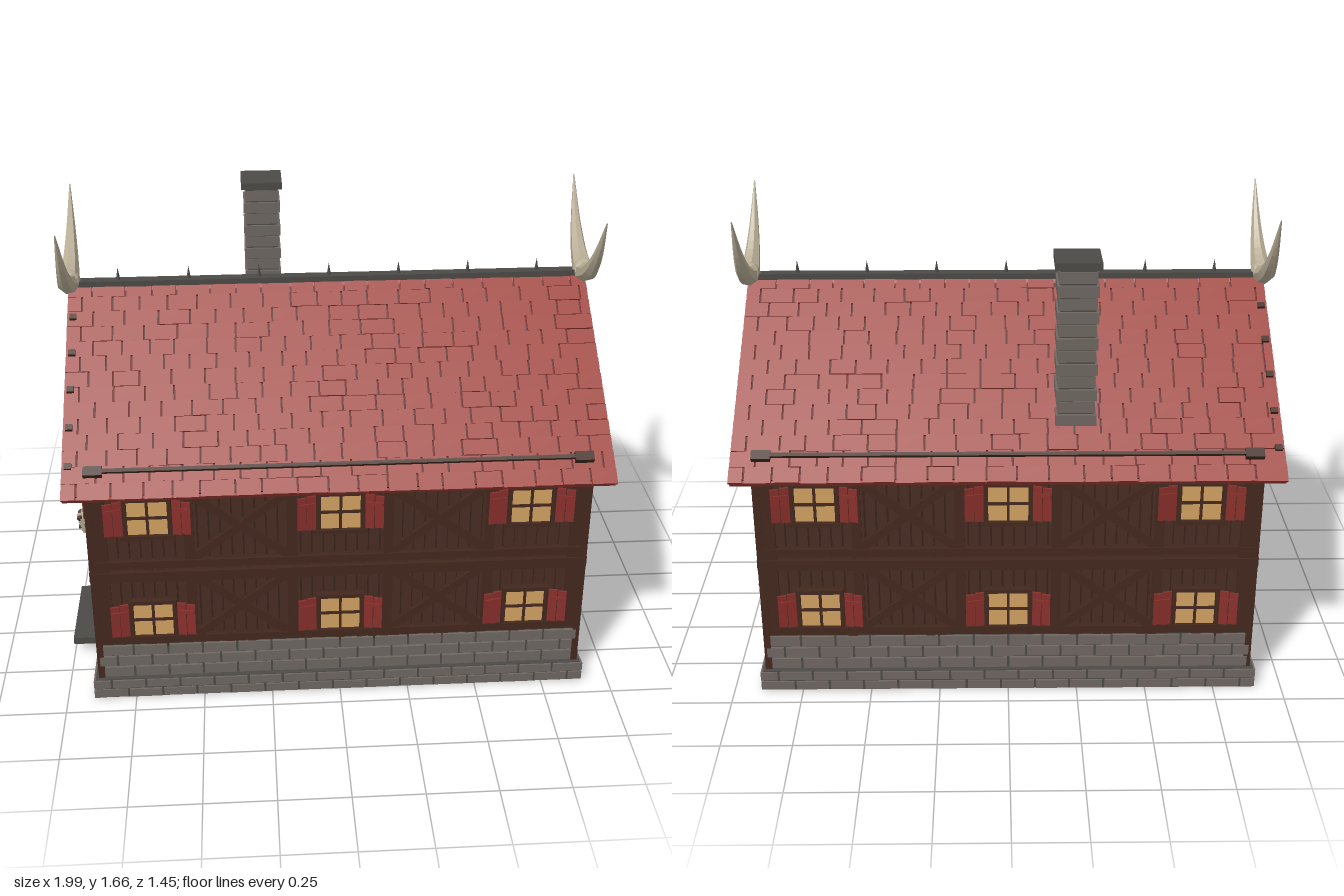
import * as THREE from 'three';
import { mergeGeometries } from 'three/addons/utils/BufferGeometryUtils.js';

const mat = (name, color) => {
  const m = new THREE.MeshStandardMaterial({ color });
  m.name = name;
  return m;
};

export function createModel() {
  const M = {
    wall: mat('dark wall wood', 0x38221a), plank: mat('plank wood', 0x492d22),
    beam: mat('timber', 0x43281d), stone: mat('stone', 0x6f6762),
    slate: mat('mortar and slate', 0x4b4a46), tile: mat('roof tile red', 0x9c3a32),
    gap: mat('dark roof red', 0x5a211c), shutter: mat('shutter red', 0x8a302c),
    glow: mat('warm glass', 0xd3a263), bone: mat('bone', 0xb9ae97),
  };
  let seed = 7;
  const rnd = () => (seed = (seed * 16807) % 2147483647) / 2147483647;
  const jit = (a) => (rnd() - 0.5) * 2 * a;

  const root = new THREE.Group();
  root.name = 'house';
  const group = (parent, name, x = 0, y = 0, z = 0) => {
    const g = new THREE.Group();
    g.name = name;
    g.position.set(x, y, z);
    parent.add(g);
    return g;
  };
  const mesh = (parent, name, geo, m) => {
    const o = new THREE.Mesh(geo, m);
    o.name = name;
    parent.add(o);
    return o;
  };
  const boxGeo = (w, h, d, x, y, z, rx = 0, ry = 0, rz = 0) =>
    new THREE.BoxGeometry(w, h, d).rotateX(rx).rotateY(ry).rotateZ(rz).translate(x, y, z);
  const box = (parent, name, m, ...a) => mesh(parent, name, boxGeo(...a), m);
  const merged = (parent, name, m, geos) => mesh(parent, name, mergeGeometries(geos), m);
  const flat = (geo) => {
    const g = geo.index ? geo.toNonIndexed() : geo;
    g.computeVertexNormals();
    return g;
  };

  // Tapered faceted horn along a curve
  const horn = (pts, r, n = 10, sides = 6) => {
    const path = new THREE.CatmullRomCurve3(pts.map((p) => new THREE.Vector3(...p)));
    const geo = new THREE.TubeGeometry(path, n, r, sides);
    const pos = geo.attributes.position, v = new THREE.Vector3();
    for (let i = 0; i <= n; i++) {
      const c = path.getPointAt(i / n), k = 1 - 0.95 * (i / n);
      for (let j = 0; j <= sides; j++) {
        const id = i * (sides + 1) + j;
        v.fromBufferAttribute(pos, id).sub(c).multiplyScalar(k).add(c);
        pos.setXYZ(id, v.x, v.y, v.z);
      }
    }
    return flat(geo);
  };

  // Horned animal skull facing local +z
  const skull = (parent, x, y, z) => {
    const g = group(parent, 'skullTrophy', x, y, z);
    mesh(g, 'cranium', flat(new THREE.IcosahedronGeometry(0.05, 1).scale(1, 0.75, 0.8).translate(0, 0.015, 0.02)), M.bone);
    mesh(g, 'snout', flat(new THREE.CylinderGeometry(0.04, 0.025, 0.07, 7).translate(0, -0.025, 0.035)), M.bone);
    for (const s of [-1, 1]) {
      mesh(g, 'eyeSocket', new THREE.SphereGeometry(0.011, 7, 5).translate(s * 0.022, 0.008, 0.06), M.wall);
      mesh(g, 'nostril', new THREE.SphereGeometry(0.006, 6, 4).translate(s * 0.009, -0.04, 0.064), M.wall);
      mesh(g, 'skullHorn', horn([[s * 0.03, 0.03, 0.02], [s * 0.075, 0.025, 0.03], [s * 0.11, 0.032, 0.03], [s * 0.135, 0.055, 0.03]], 0.017, 6), M.bone);
    }
  };

  // Four-pane window with open shutters
  const windowUnit = (parent, x, y) => {
    const g = group(parent, 'window', x, y, 0);
    box(g, 'windowBacking', M.beam, 0.165, 0.16, 0.018, 0, 0, 0.011);
    box(g, 'windowGlass', M.glow, 0.14, 0.136, 0.004, 0, 0, 0.021);
    const bars = [boxGeo(0.01, 0.14, 0.008, 0, 0, 0.024), boxGeo(0.14, 0.01, 0.008, 0, 0, 0.024)];
    for (const s of [-1, 1]) {
      bars.push(boxGeo(0.015, 0.165, 0.018, s * 0.077, 0, 0.023), boxGeo(s > 0 ? 0.17 : 0.19, 0.015, 0.022, 0, s * 0.076, 0.025));
      merged(g, 'shutter', M.shutter, [0, 1].map((i) =>
        boxGeo(0.031, 0.135 - i * 0.008, 0.008, s * (0.102 + i * 0.033), 0, 0.028 + i * 0.007, 0, -s * 0.22)));
      box(g, 'shutterBattens', M.shutter, 0.058, 0.012, 0.006, s * 0.118, 0.035, 0.037, 0, -s * 0.22);
    }
    merged(g, 'windowFrame', M.beam, bars);
  };

  // Gable-shaped body with a recessed doorway on the right end
  const DOOR = { c: 0.23, a: 0.09, b: 0.37, top: 0.42 };
  const profile = () => new THREE.Shape([[-0.635, 0.05], [0.635, 0.05], [0.635, 0.89], [0, 1.325], [-0.635, 0.89]]
    .map((p) => new THREE.Vector2(...p)));
  const extrudeX = (shape, x0, x1) =>
    new THREE.ExtrudeGeometry(shape, { depth: x1 - x0, bevelEnabled: false }).rotateY(Math.PI / 2).translate(x0, 0, 0);
  mesh(root, 'houseBody', extrudeX(profile(), -0.77, 0.86), M.wall);
  const doorWall = profile();
  doorWall.holes.push(new THREE.Path([[-DOOR.b, 0.08], [-DOOR.a, 0.08], [-DOOR.a, DOOR.top], [-DOOR.b, DOOR.top]]
    .map((p) => new THREE.Vector2(...p))));
  mesh(root, 'doorWall', extrudeX(doorWall, -0.86, -0.77), M.wall);
  box(root, 'doorway', M.slate, 0.006, 0.34, 0.28, -0.772, 0.25, DOOR.c);
  box(root, 'doorStep', M.slate, 0.14, 0.028, 0.35, -0.93, 0.06, 0.225);

  // Stone plinth
  box(root, 'plinthCore', M.slate, 1.79, 0.08, 1.34, 0, 0.04, 0);

  // One wall: local x along the wall, z outward
  const bricks = (list, a, b, y, h, z, d, shift) => {
    for (let u = a - shift; u < b; u += 0.125) {
      const l = Math.max(a, u + 0.004), r = Math.min(b, u + 0.121);
      if (r - l > 0.01) list.push(boxGeo(r - l, h - 0.007, d + jit(0.003), (l + r) / 2, y + h / 2, z));
    }
  };
  const wall = (name, rot, half, out, side, door) => {
    const g = group(root, name);
    g.rotation.y = rot;
    const f = group(g, 'wallFace', 0, 0, out);
    const stone = [], planks = [], beams = [];
    for (let c = 0; c < 2; c++) bricks(stone, -half - 0.042, half + 0.042, c * 0.04 + 0.001, 0.04, 0.028, 0.026, c * 0.06);
    const sHalf = side ? 0.6 : half + 0.015;
    for (const [a, b] of door ? [[-sHalf, DOOR.a - 0.02], [DOOR.b + 0.02, sHalf]] : [[-sHalf, sHalf]]) {
      box(f, 'stoneMortar', M.slate, b - a, 0.145, 0.014, (a + b) / 2, 0.148, 0.006);
      for (let c = 0; c < 3; c++) bricks(stone, a, b, 0.08 + c * 0.047, 0.047, 0.01, 0.024, (c % 2) * 0.06);
    }
    merged(f, 'stoneBlocks', M.stone, stone);
    // Vertical planking
    const roofAt = (u) => (side ? 1.315 - 0.685 * (Math.abs(u) + 0.02) : 0.88);
    const n = Math.round((half * 2) / 0.04), w = (half * 2) / n;
    for (let i = 0; i < n; i++) {
      const u = -half + (i + 0.5) * w, d = 0.008 + rnd() * 0.008;
      const inDoor = door && u > DOOR.a - 0.02 && u < DOOR.b + 0.02;
      const y0 = inDoor ? DOOR.top : 0.205 + rnd() * 0.015, y1 = roofAt(u);
      planks.push(boxGeo(w - 0.006, y1 - y0, d, u, (y0 + y1) / 2, d / 2));
    }
    merged(f, 'planks', M.plank, planks);
    // Timber frame
    const bar = (x0, y0, x1, y1, t = 0.035, d = 0.02) => beams.push(
      boxGeo(Math.hypot(x1 - x0, y1 - y0), t, d, (x0 + x1) / 2, (y0 + y1) / 2, d / 2, 0, 0, Math.atan2(y1 - y0, x1 - x0)));
    const brace = (x0, x1, y0, y1) => {
      bar(x0, y0, x1, y1, 0.03, 0.018);
      bar(x0, y1, x1, y0, 0.03, 0.0185);
    };
    const e = half + 0.02;
    bar(-e, 0.515, e, 0.515, 0.04, 0.026);
    bar(-e, 0.565, e, 0.565, 0.03, 0.024);
    if (door) {
      bar(-e, 0.24, DOOR.a - 0.02, 0.24, 0.03);
      bar(DOOR.b + 0.02, 0.24, e, 0.24, 0.03);
      bar(DOOR.a - 0.012, 0.08, DOOR.a - 0.012, DOOR.top, 0.03, 0.03);
      bar(DOOR.b + 0.012, 0.08, DOOR.b + 0.012, DOOR.top, 0.03, 0.03);
      bar(DOOR.a - 0.04, DOOR.top + 0.015, DOOR.b + 0.04, DOOR.top + 0.015, 0.035, 0.035);
    } else bar(-e, 0.24, e, 0.24, 0.03);
    if (side) bar(-0.59, 0.92, 0.59, 0.92, 0.045, 0.024);
    for (const s of [-1, 1]) {
      if (side) bar(s * 0.628, 0.08, s * 0.628, 0.88, 0.058, 0.024);
      else bar(s * 0.845, 0.225, s * 0.845, 0.88, 0.06, 0.02);
      for (const p of side ? [0.2] : [0.17, 0.53]) {
        if (!(door && s > 0)) bar(s * p, 0.25, s * p, 0.5);
        bar(s * p, 0.58, s * p, side ? 0.91 : 0.87);
      }
      if (!side) for (const y of [0.25, 0.58]) brace(s * 0.18, s * 0.52, y, y + 0.26);
    }
    if (side) {
      brace(-0.19, door ? 0.05 : 0.19, 0.25, 0.5);
      brace(-0.19, 0.19, 0.58, 0.9);
    }
    merged(f, 'timberFrame', M.beam, beams);
    for (const u of side ? [-0.4, 0.4] : [-0.67, 0, 0.67]) {
      windowUnit(f, u, 0.76);
      if (!(door && u > 0)) windowUnit(f, u, 0.335);
    }
    // Gable ornaments
    if (side) {
      mesh(f, 'gableLamp', new THREE.SphereGeometry(0.042, 14, 10).scale(1, 1, 0.5).translate(0, 1.2, 0.018), M.glow);
      skull(f, 0, 1.1, 0.012);
    }
    if (door) skull(f, DOOR.c, 0.51, 0.035);
  };
  wall('frontWall', 0, 0.86, 0.635, false, false);
  wall('backWall', Math.PI, 0.86, 0.635, false, false);
  wall('leftWall', Math.PI / 2, 0.635, 0.86, true, false);
  wall('rightWall', -Math.PI / 2, 0.635, 0.86, true, true);

  // Roof slopes: local z runs down the slope from the ridge
  const L = 0.875, ROWS = 14, rowH = L / ROWS;
  for (const s of [1, -1]) {
    const half = group(root, s > 0 ? 'frontRoof' : 'backRoof', 0, 1.368, 0);
    half.rotation.y = s > 0 ? 0 : Math.PI;
    const slope = group(half, 'roofSlope');
    slope.rotation.x = Math.atan2(0.49, 0.72);
    box(slope, 'roofSlab', M.tile, 1.9, 0.02, L - 0.01, 0, -0.028, (L - 0.01) / 2);
    box(slope, 'tileUnderlay', M.gap, 1.89, 0.006, L - 0.02, 0, -0.015, (L - 0.02) / 2);
    const tiles = [];
    for (let r = 0; r < ROWS; r++) {
      let u = -0.955;
      while (u < 0.954) {
        const w = u === -0.955 && r % 2 ? 0.055 : 0.105 + jit(0.02);
        let end = Math.min(0.955, u + w);
        if (0.955 - end < 0.03) end = 0.955;
        tiles.push(boxGeo(end - u - 0.007, 0.012, rowH - 0.003 + jit(0.004), (u + end) / 2, -0.004 + jit(0.001), (r + 0.5) * rowH, 0.09));
        u = end;
      }
    }
    merged(slope, 'roofTiles', M.tile, tiles);
    // Snow rail and edge blocks
    box(slope, 'snowRail', M.beam, 1.7, 0.012, 0.014, 0, 0.016, 0.775);
    for (const e of [-1, 1]) box(slope, 'railBracket', M.beam, 0.065, 0.026, 0.035, e * 0.845, 0.01, 0.775);
    for (let i = 1; i <= 5; i++) box(slope, 'edgeBlock', M.beam, 0.025, 0.016, 0.022, -s * 0.93, 0.006, i * 0.15);
  }

  // Ridge cap with spikes
  box(root, 'ridgeCap', M.slate, 1.9, 0.022, 0.04, 0, 1.368, 0);
  for (let i = -3; i <= 3; i++)
    mesh(root, 'ridgeSpike', new THREE.ConeGeometry(0.009, 0.05, 5).translate(i * 0.257, 1.4, 0), M.slate);

  // Great horns at both ridge ends
  for (const s of [-1, 1]) {
    const g = group(root, 'ridgeHorns', s * 0.95, 1.375, 0);
    mesh(g, 'hornHub', flat(new THREE.IcosahedronGeometry(0.044, 1)), M.bone);
    for (const d of [-1, 1])
      mesh(g, 'greatHorn', horn([[0, -0.008, 0], [0, 0.03, d * 0.09], [0, 0.125, d * 0.185], [0, 0.28, d * 0.272]], 0.04, 10, 7), M.bone);
  }

  // Chimney of staggered courses
  const chimney = group(root, 'chimney', -0.235, 0, -0.482);
  box(chimney, 'chimneyCore', M.slate, 0.122, 0.62, 0.122, 0, 1.265, 0);
  const courses = [];
  for (let i = 0; i < 13; i++) {
    const w = i % 2 ? 0.142 : 0.13;
    courses.push(boxGeo(w, 0.041, w, 0, 0.978 + i * 0.047, 0));
  }
  merged(chimney, 'chimneyCourses', M.stone, courses);
  box(chimney, 'chimneyCap', M.slate, 0.158, 0.026, 0.158, 0, 1.585, 0);

  return root;
}
